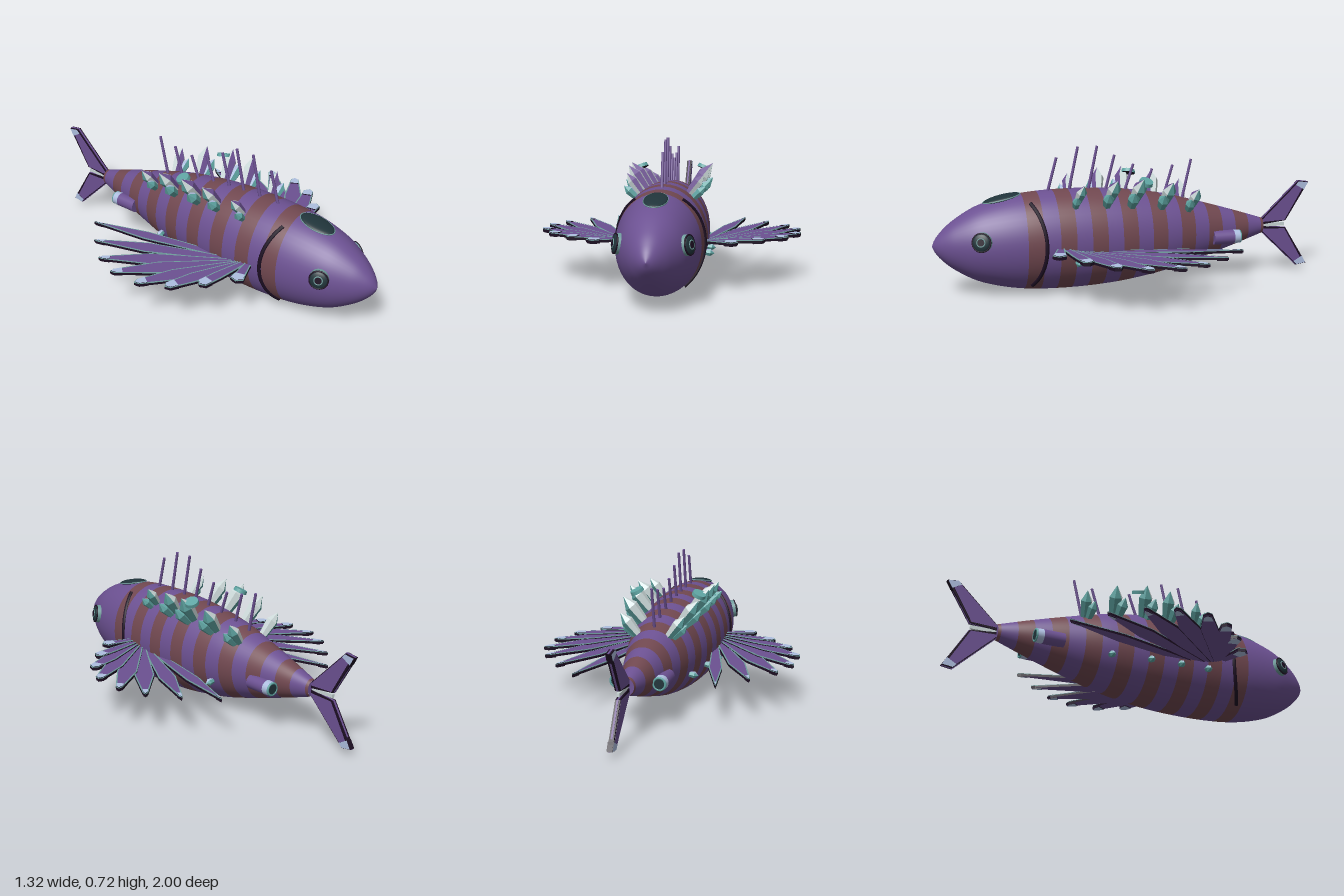
import * as THREE from 'three';

const mat = (name, color) => {
  const m = new THREE.MeshStandardMaterial({ color });
  m.name = name;
  return m;
};
const M = {
  purple: mat('purple hull', 0x6c5192),
  brown: mat('brown stripe', 0x714850),
  black: mat('dark seam', 0x1c0e22),
  glass: mat('dark glass', 0x20343a),
  rim: mat('teal rim', 0x6f9c9c),
  teal: mat('teal crystal', 0x5fa5a3),
  light: mat('pale metal', 0xaebfe0),
  frost: mat('frosted crystal', 0xcbd8d8),
};

const CY = 0.256, FLAT = 0.84;

// Hull radius along z
const profile = new THREE.SplineCurve([
  [-0.74, 0.04], [-0.58, 0.092], [-0.4, 0.146], [-0.2, 0.2], [0, 0.234], [0.15, 0.248], [0.3, 0.253],
  [0.45, 0.25], [0.58, 0.238], [0.7, 0.213], [0.8, 0.178], [0.9, 0.118], [0.96, 0.065], [0.99, 0.025], [1, 0],
].map(([z, r]) => new THREE.Vector2(z, r))).getPoints(300);

function hullR(z) {
  const i = Math.min(profile.length - 1, Math.max(1, profile.findIndex((p) => p.x >= z)));
  const a = profile[i - 1], b = profile[i];
  return Math.max(0, THREE.MathUtils.mapLinear(z, a.x, b.x, a.y, b.y));
}
// Point on the hull, angle measured from the top towards side s
const onHull = (s, z, a) =>
  new THREE.Vector3(s * FLAT * hullR(z) * Math.sin(a), CY + hullR(z) * Math.cos(a), z);

function add(parent, name, geo, material, pos) {
  const m = new THREE.Mesh(geo, material);
  m.name = name;
  if (pos) m.position.copy(pos);
  parent.add(m);
  return m;
}
const aim = (obj, dir) =>
  obj.quaternion.setFromUnitVectors(new THREE.Vector3(0, 1, 0), dir.clone().normalize());

// Flat plate from an outline in the xy plane, centred on z, with an optional hole
const vecs = (points) => points.map(([x, y]) => new THREE.Vector2(x, y));
function plate(points, t, hole) {
  const shape = new THREE.Shape(vecs(points));
  if (hole) shape.holes.push(new THREE.Path(vecs(hole)));
  return new THREE.ExtrudeGeometry(shape, { depth: t, bevelEnabled: false }).translate(0, 0, -t / 2);
}

function hullBand(parent, name, z0, z1, material, steps) {
  const pts = [];
  for (let i = 0; i <= steps; i++) {
    const z = z0 + (z1 - z0) * i / steps;
    pts.push(new THREE.Vector2(i === steps && z1 === 1 ? 0 : hullR(z), z));
  }
  const g = new THREE.LatheGeometry(pts, 48).rotateX(Math.PI / 2).scale(FLAT, 1, 1);
  add(parent, name, g, material, new THREE.Vector3(0, CY, 0));
}

// Six-sided pointed crystal; facets run from front-outer round to front-inner
const FACETS = [M.frost, M.teal, M.teal, M.frost, M.frost, M.purple];
const SIDE_FACETS = [M.teal, M.teal, M.teal, M.teal, M.light, M.teal];
function crystal(parent, name, s, base, dir, len, r, facets) {
  const pts = vecs([[0, 0], [r * 0.7, 0], [r, len * 0.62], [0, len]]);
  const g = new THREE.LatheGeometry(pts, 6).toNonIndexed();
  g.computeVertexNormals();
  for (let i = 0; i < 6; i++) g.addGroup(i * 18, 18, s > 0 ? i : 5 - i);
  aim(add(parent, name, g, facets, base), dir);
}

// One fan blade: purple web with dark sides, teal edging on top, pale tip
function blade(parent, root, tip, k) {
  const g = new THREE.Group();
  g.name = 'finBlade';
  const dx = tip.x - root.x, dz = tip.z - root.z, L = Math.hypot(dx, dz);
  const W = 0.026 + 0.024 * Math.sin(Math.PI * Math.min(1, k + 0.1)), e = 0.004 + 0.03 * k;
  const mid = 0.66 * L, end = L - 0.02, cut = L - 0.055 - 0.01 * k;
  const wCut = THREE.MathUtils.mapLinear(cut, mid, end, W, e);
  const both = (half) => [...half, ...half.slice().reverse().map(([x, y]) => [x, -y])];
  const lay = (geo) => geo.rotateX(-Math.PI / 2);
  const withPoint = (half, x) => {
    const pts = both(half);
    pts.splice(half.length, 0, [x, 0]);
    return pts;
  };
  const c = 0.006;
  const outline = withPoint([[0, 0.012], [mid, W], [end, e]], L);
  const inset = both([[0.02, 0.007], [mid, W - c], [cut, Math.max(0.002, wCut - c)]]);
  const tipPts = withPoint([[cut, Math.max(0.002, wCut - 0.003)], [end - 0.002, Math.max(0.002, e - 0.003)]], L - 0.005);
  add(g, 'bladeWeb', lay(plate(outline, 0.012)), [M.purple, M.black]);
  add(g, 'bladeEdging', lay(plate(outline, 0.004, inset)).translate(0, 0.007, 0), M.rim);
  add(g, 'bladeTip', lay(plate(tipPts, 0.022)), [M.light, M.black]);
  g.position.copy(root);
  g.rotation.y = Math.atan2(-dz, dx);
  parent.add(g);
}

export function createModel() {
  const model = new THREE.Group();
  model.name = 'mechanicalFish';

  // Striped hull and plain head
  const period = 0.16;
  for (let z = 0.555, i = 0; z > -0.74; z -= period / 2, i++) {
    const z0 = Math.max(-0.74, z - period / 2);
    hullBand(model, i % 2 ? 'purpleBand' : 'brownStripe', z0, z, i % 2 ? M.purple : M.brown, 5);
  }
  hullBand(model, 'head', 0.555, 1, M.purple, 40);
  add(model, 'tailCap', new THREE.CircleGeometry(0.04, 24).rotateY(Math.PI).scale(FLAT, 1, 1), M.purple,
    new THREE.Vector3(0, CY, -0.74));

  // Roof window
  const hatch = new THREE.Group();
  hatch.name = 'roofWindow';
  add(hatch, 'windowGlass', new THREE.SphereGeometry(1, 32, 16).scale(0.056, 0.015, 0.094), M.glass);
  add(hatch, 'windowRim', new THREE.TorusGeometry(1, 0.03, 8, 40).rotateX(Math.PI / 2).scale(0.057, 0.1, 0.095), M.rim);
  hatch.position.set(0, CY + hullR(0.65) - 0.002, 0.65);
  hatch.rotation.x = 0.21;
  model.add(hatch);

  // Dorsal spines
  [[0.42, 0.67], [0.31, 0.72], [0.21, 0.72], [0.12, 0.67], [0.02, 0.62], [-0.08, 0.59], [-0.19, 0.605], [-0.29, 0.63]]
    .forEach(([z, top]) => {
      const a = new THREE.Vector3(0, CY + hullR(z) - 0.02, z);
      const d = new THREE.Vector3(0, top, z - 0.05).sub(a), len = d.length();
      aim(add(model, 'dorsalSpine', new THREE.CylinderGeometry(0.007, 0.008, len, 8).translate(0, len / 2, 0), M.purple, a), d);
    });

  // Tail fins, upper and lower
  const fin = [[-0.72, 0.015], [-0.945, 0.23], [-1, 0.222], [-0.875, 0.02], [-0.74, 0.005]];
  const spine = [[-0.72, 0.018], [-0.944, 0.233], [-1, 0.224], [-0.878, 0.019], [-0.74, 0.004]];
  const web = [[-0.728, 0.018], [-0.938, 0.218], [-0.975, 0.204], [-0.869, 0.023]];
  const tip = [[-0.928, 0.21], [-0.945, 0.228], [-0.997, 0.22], [-0.976, 0.182]];
  for (const v of [1, -1]) {
    const side = (pts, t) => plate(pts.map(([z, y]) => [-z, y * v]), t).rotateY(Math.PI / 2);
    const at = new THREE.Vector3(0, CY, 0);
    add(model, 'tailFinRim', side(fin, 0.024), M.black, at);
    add(model, 'tailFinSpine', side(spine, 0.009), M.purple, at);
    add(model, 'tailFinWeb', side(web, 0.027), [M.purple, M.black], at);
    add(model, 'tailFinTip', side(tip, 0.029), [M.light, M.black], at);
  }
  add(model, 'tailBar', new THREE.BoxGeometry(0.014, 0.018, 0.14), M.frost, new THREE.Vector3(0, CY, -0.8));

  const tips = [[0.355, -0.5], [0.49, -0.37], [0.6, -0.235], [0.658, -0.1], [0.662, 0.06], [0.6, 0.2], [0.49, 0.32], [0.365, 0.44]];
  for (const s of [1, -1]) {
    const sideGroup = new THREE.Group();
    sideGroup.name = s > 0 ? 'leftSide' : 'rightSide';
    model.add(sideGroup);

    // Pectoral fan
    tips.forEach(([x, z], i) => {
      const y = 0.214 + 0.0045 * i;
      blade(sideGroup, new THREE.Vector3(s * 0.15, y, 0.38), new THREE.Vector3(s * x, y, z), i / 7);
    });

    // Gill seam
    const gill = [];
    for (let i = 0; i <= 16; i++) {
      const t = i / 16;
      gill.push(onHull(s, 0.525 - 0.06 * Math.sin(Math.PI * t), 0.54 + 2 * t));
    }
    add(sideGroup, 'gillSeam', new THREE.TubeGeometry(new THREE.CatmullRomCurve3(gill), 40, 0.01, 8), M.black);

    // Eye
    const eye = new THREE.Group();
    eye.name = 'eye';
    const ring = (r, t, y) => new THREE.TorusGeometry(r, t, 8, 32).rotateX(Math.PI / 2).translate(0, y, 0);
    add(eye, 'eyeSocket', new THREE.CylinderGeometry(0.047, 0.05, 0.03, 32), M.rim);
    add(eye, 'eyeRing', ring(0.045, 0.004, 0.015), M.black);
    add(eye, 'eyeLens', new THREE.SphereGeometry(0.044, 24, 12).scale(1, 0.3, 1).translate(0, 0.014, 0), M.glass);
    add(eye, 'irisRing', ring(0.02, 0.003, 0.025), M.rim);
    add(eye, 'pupil', new THREE.CylinderGeometry(0.017, 0.017, 0.006, 24).translate(0, 0.025, 0), M.black);
    eye.position.copy(onHull(s, 0.775, 1.35));
    aim(eye, new THREE.Vector3(s, 0.18, 0.42));
    sideGroup.add(eye);

    // Back crystals in pairs
    [0.29, 0.13, 0, -0.16, -0.31].forEach((z, i) => {
      const size = [0.8, 1, 1.1, 1.05, 0.9][i];
      const at = (dz, a) => onHull(s, z + dz, a).multiply(new THREE.Vector3(0.95, 0.985, 1));
      crystal(sideGroup, 'mainCrystal', s, at(0, 0.6), new THREE.Vector3(s * 0.62, 0.8, -0.15), 0.155 * size, 0.034 * size, FACETS);
      crystal(sideGroup, 'sideCrystal', s, at(0.015, 0.73), new THREE.Vector3(s * 0.72, 0.68, 0.05), 0.11 * size, 0.028 * size, SIDE_FACETS);
    });

    // Sensor disc resting on the middle crystal
    aim(add(sideGroup, 'sensorDisc', new THREE.CylinderGeometry(0.034, 0.036, 0.018, 24), [M.teal, M.teal, M.black],
      new THREE.Vector3(s * 0.163, 0.552, -0.05)), new THREE.Vector3(s * 0.4, 0.9, -0.2));

    // Small crystals below the fan
    [0.31, 0.16, 0, -0.2].forEach((z) => {
      const a = Math.acos((0.18 - CY) / hullR(z));
      crystal(sideGroup, 'lowerCrystal', s, onHull(s, z, a).multiply(new THREE.Vector3(0.95, 1, 1)),
        new THREE.Vector3(s, -0.15, 0), 0.052, 0.018, SIDE_FACETS);
    });

    // Thruster pod, open at the rear
    const pod = new THREE.Group();
    pod.name = 'thruster';
    const tube = (r0, r1, len, z) => new THREE.CylinderGeometry(r0, r1, len, 24).rotateX(Math.PI / 2).translate(0, 0, z);
    add(pod, 'thrusterBody', tube(0.036, 0.036, 0.11, 0.02), M.purple);
    add(pod, 'thrusterCollar', tube(0.036, 0.034, 0.035, -0.052), M.light);
    add(pod, 'thrusterRing', new THREE.TorusGeometry(0.029, 0.006, 8, 24).translate(0, 0, -0.069), M.teal);
    add(pod, 'thrusterNozzle', tube(0.025, 0.025, 0.006, -0.07), M.glass);
    pod.position.set(s * 0.105, 0.23, -0.505);
    sideGroup.add(pod);
  }
  return model;
}
